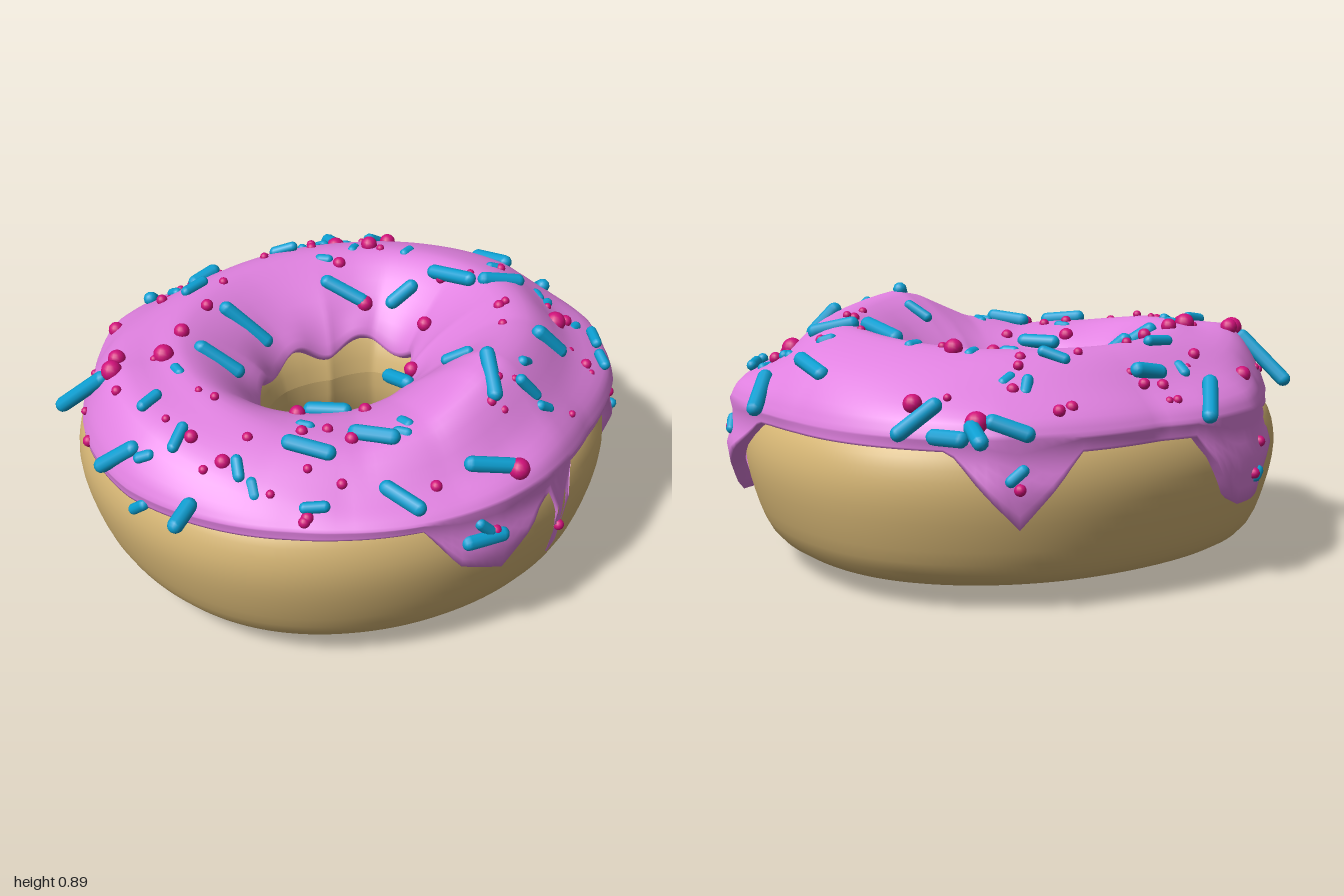
import * as THREE from 'three';

const SEG = 180, Z_SCALE = 0.925, RAD = Math.PI / 180;

// Icing by angle in degrees (0 = +x, 90 = +z): lower edge, crest height, shoulder height, hole radius, outer reach
const DRIPS = [[-180, .53], [-132, .53], [-122, .27], [-109, .27], [-98, .52], [-72, .52], [-60, .29],
  [-47, .53], [5, .53], [24, .32], [30, .22], [36, .22], [42, .4], [47, .54], [75, .54], [78, .19],
  [81, .5], [85, .48], [96, .31], [106, .38], [114, .54], [180, .53]];
const CREST = [[-180, .775], [-155, .785], [-90, .78], [-45, .785], [0, .81], [45, .82], [76, .86], [85, .84],
  [105, .75], [125, .715], [150, .735], [180, .775]];
const SHOULDER = [[-180, .73], [-155, .77], [-125, .72], [-90, .67], [-45, .71], [0, .74], [28, .69],
  [50, .7], [76, .71], [90, .66], [105, .63], [130, .625], [150, .66], [180, .73]];
const HOLE = [[-180, .345], [-155, .309], [-136, .28], [-100, .275], [-83, .262], [-61, .25], [-31, .312],
  [0, .31], [28, .235], [61, .247], [90, .22], [123, .27], [160, .32], [180, .345]];
const REACH = [[-180, .935], [-152, .93], [-132, .92], [-115, .975], [-102, .965], [-90, .92], [-69, .965],
  [-56, .99], [-34, .96], [-10, .93], [0, .935], [22, .99], [44, .975], [64, .925], [84, .935], [96, .935],
  [113, .92], [130, .9], [141, .895], [159, .91], [180, .935]];
// Outer wall of the dough [y, radius]
const WALL = [[.1, .83], [.25, .9], [.42, .925], [.55, .88]];

function lookup(table, v) {
  for (let i = 1; i < table.length; i++) {
    const [a, fa] = table[i - 1], [b, fb] = table[i];
    if (v <= b) return THREE.MathUtils.lerp(fa, fb, Math.max(0, (v - a) / (b - a)));
  }
  return table[table.length - 1][1];
}

const bulge = (t) => 1 + 0.03 * Math.sin(2 * t) ** 2 + 0.025 * Math.max(0, Math.cos(t + 0.47)) ** 16
  - 0.04 * Math.max(0, Math.cos(t - 2.36)) ** 6;

// Radius of the icing where it hangs on the dough wall
function hangRadius(t, y) {
  const wall = lookup(WALL, y), reach = lookup(REACH, t / RAD);
  const hang = Math.max((wall + .025) * reach / .935, wall * bulge(t) + .016);
  return THREE.MathUtils.lerp(reach, hang, Math.min(1, (.57 - y) / .12));
}

function spline(points, closed, n) {
  return new THREE.CatmullRomCurve3(points.map(([r, y]) => new THREE.Vector3(r, y, 0)), closed)
    .getPoints(n).map((p) => [p.x, p.y]);
}

// Rounded dough section with a gently uneven base
function doughSection(t) {
  const h = lookup(HOLE, t / RAD), b = bulge(t) * (1 + 0.006 * Math.sin(5 * t + 1));
  const base = 0.02 - 0.014 * Math.cos(t - 1.8) + 0.006 * Math.sin(3 * t);
  return spline([[h + .012, .42], [h + .1, .59], [.58, .66], [.76, .6], [.88 * b, .54],
    [.925 * b, .42], [.9 * b, .25], [.83 * b, .1], [.7, base + .015], [.55, base + .005],
    [h + .15, .07], [h + .05, .2]], true, 44);
}

// Icing section: hole edge, over the crest, then down the wall to the drip edge
function icingSection(t) {
  const deg = t / RAD, h = lookup(HOLE, deg), reach = lookup(REACH, deg), shoulder = lookup(SHOULDER, deg);
  const top = lookup(CREST, deg), end = lookup(DRIPS, deg), wave = .03 * Math.sin(7 * t);
  const section = spline([[h + .03, .53 + wave], [h, .56 + wave], [h + .09, .68], [.56, top],
    [.67, top - .01], [.81, shoulder], [reach - .03, THREE.MathUtils.lerp(.57, shoulder, .4)], [reach, .57]], false, 26);
  for (let k = 1; k <= 6; k++) {
    const y = THREE.MathUtils.lerp(.57, end, k / 6);
    section.push([hangRadius(t, y), y]);
  }
  section.push([hangRadius(t, end) - .05, end + .015]);
  return section;
}

// Sweeps a section that varies with angle around the ring
function ringGeometry(sectionAt) {
  const pos = [], index = [];
  let n = 0;
  for (let i = 0; i < SEG; i++) {
    const t = (-180 + i * 360 / SEG) * RAD, section = sectionAt(t);
    n = section.length;
    for (const [r, y] of section) pos.push(r * Math.cos(t), y, r * Math.sin(t) * Z_SCALE);
  }
  for (let i = 0; i < SEG; i++) for (let j = 0; j < n - 1; j++) {
    const a = i * n + j, b = ((i + 1) % SEG) * n + j;
    index.push(a, b, a + 1, b, b + 1, a + 1);
  }
  const g = new THREE.BufferGeometry();
  g.setAttribute('position', new THREE.Float32BufferAttribute(pos, 3));
  g.setIndex(index);
  g.computeVertexNormals();
  return g;
}

// Point on the icing above (x, z)
function onIcing(x, z, lift) {
  const r = Math.hypot(x, z / Z_SCALE), section = icingSection(Math.atan2(z / Z_SCALE, x));
  let best = section[4];
  for (const p of section.slice(4, 28)) if (Math.abs(p[0] - r) < Math.abs(best[0] - r)) best = p;
  return new THREE.Vector3(x, best[1] + lift, z);
}

// Rod sprinkles as end points x1, z1, x2, z2
const RODS = [
  [-.26, -.77, -.16, -.89], [-.11, -.71, 0, -.71], [-.25, -.57, -.15, -.58], [-.83, -.52, -.75, -.36],
  [-.2, -.41, -.1, -.29], [-.43, -.26, -.34, -.15], [-.79, -.1, -.71, -.11], [-.94, -.14, -.87, -.03],
  [-.96, .28, -.86, .24], [-.82, .1, -.74, .06], [-.55, .33, -.47, .46], [-.32, .17, -.23, .27],
  [-.35, .42, -.28, .55], [-.4, .62, -.36, .75], [-.64, .51, -.58, .56], [-.14, .73, 0, .81],
  [.05, .66, .14, .53], [.11, .37, .16, .44], [.12, .2, .14, .07], [.5, -.08, .52, .1],
  [.55, .12, .68, .19], [.22, -.35, .3, -.22], [.2, -.62, .26, -.56], [.46, -.8, .56, -.72],
  [.61, -.7, .65, -.82], [.66, -.59, .8, -.58], [.82, -.16, .82, 0], [.88, .13, .98, .02],
  [.42, .5, .5, .55], [.16, .66, .22, .69], [.73, .52, .79, .44], [.66, -.74, .7, -.62],
  [.36, -.15, .43, -.1], [.66, .62, .69, .56], [-.7, .27, -.73, .32]];

// Rod sprinkles on the drips as degrees, y, degrees, y
const DRIP_RODS = [[105, .46, 96, .45], [102, .52, 99, .47], [40, .43, 37, .4], [24, .5, 21, .46],
  [-61, .48, -58, .44], [-119, .36, -116, .34], [179, .49, 175, .54]];

// Ball sprinkles as x, z, radius
const BALLS = [
  [-.47, -.69, .028], [-.73, -.34, .036], [-.68, -.38, .03], [-.56, -.28, .035], [-.43, -.35, .027],
  [-.25, -.44, .022], [-.3, -.64, .02], [-.08, -.75, .02], [.29, -.77, .02], [.59, -.7, .036],
  [.47, -.38, .03], [.32, -.38, .024], [.3, -.22, .03], [.36, .03, .027], [.21, .12, .027],
  [.42, -.64, .02], [.71, -.53, .03], [.66, .38, .037], [.73, .37, .022], [.49, .29, .015],
  [-.38, .19, .027], [-.2, .32, .022], [-.73, .24, .025], [-.75, .11, .022], [-.59, .03, .015],
  [-.37, .44, .022], [-.26, .71, .02], [0, .82, .036], [.07, .68, .015], [.69, .58, .02], [-.87, -.3, .02]];

export function createModel() {
  const model = new THREE.Group();
  const mat = (color, side = THREE.FrontSide) => new THREE.MeshStandardMaterial({ color, side });
  const add = (parent, name, geometry, material) => {
    const mesh = new THREE.Mesh(geometry, material);
    mesh.name = name;
    parent.add(mesh);
    return mesh;
  };
  const onDrip = (deg, y) => {
    const t = deg * RAD, r = hangRadius(t, y);
    return new THREE.Vector3(r * Math.cos(t), y, r * Math.sin(t) * Z_SCALE);
  };
  let seed = 7;
  const rand = () => (seed = (seed * 16807) % 2147483647) / 2147483647;
  const scatter = () => {
    const t = (rand() * 2 - 1) * Math.PI, r = .5 + .42 * rand();
    return [r * Math.cos(t), r * Math.sin(t) * Z_SCALE];
  };

  add(model, 'dough', ringGeometry(doughSection), mat(0xd6b675));
  add(model, 'icing', ringGeometry(icingSection), mat(0xe081e0, THREE.DoubleSide));

  // Rod sprinkles lying along the icing, with short ones scattered between them
  const rods = new THREE.Group();
  rods.name = 'rodSprinkles';
  const blue = mat(0x0b9fd2), up = new THREE.Vector3(0, 1, 0);
  const addRod = (a, b) => {
    const dir = b.clone().sub(a), length = dir.length(), radius = length > .11 ? .026 : .019;
    const rod = add(rods, 'rodSprinkle', new THREE.CapsuleGeometry(radius, Math.max(.02, length - radius), 4, 10), blue);
    rod.position.copy(a).add(b).multiplyScalar(.5);
    rod.quaternion.setFromUnitVectors(up, dir.normalize());
  };
  for (const [x1, z1, x2, z2] of RODS) addRod(onIcing(x1, z1, .012), onIcing(x2, z2, .012));
  for (const [d1, y1, d2, y2] of DRIP_RODS) addRod(onDrip(d1, y1), onDrip(d2, y2));
  for (let i = 0; i < 18; i++) {
    const [x, z] = scatter(), a = rand() * Math.PI;
    addRod(onIcing(x, z, -.008), onIcing(x + .05 * Math.cos(a), z + .05 * Math.sin(a), -.008));
  }

  // Ball sprinkles, with small ones scattered between them and on the drips
  const balls = new THREE.Group();
  balls.name = 'ballSprinkles';
  const pink = mat(0xd0107a), ball = new THREE.SphereGeometry(1, 14, 10);
  const addBall = (p, radius) => {
    const m = add(balls, 'ballSprinkle', ball, pink);
    m.position.copy(p);
    m.scale.setScalar(radius);
  };
  for (const [x, z, r] of BALLS) addBall(onIcing(x, z, .005), r);
  for (let i = 0; i < 40; i++) addBall(onIcing(...scatter(), 0), .012 + .008 * rand());
  for (const [deg, y] of [[78, .32], [36, .36], [30, .46], [40, .48], [22, .47], [-60, .42], [-115, .36], [-120, .45], [98, .47]])
    addBall(onDrip(deg, y), .019);

  model.add(rods, balls);
  return model;
}
